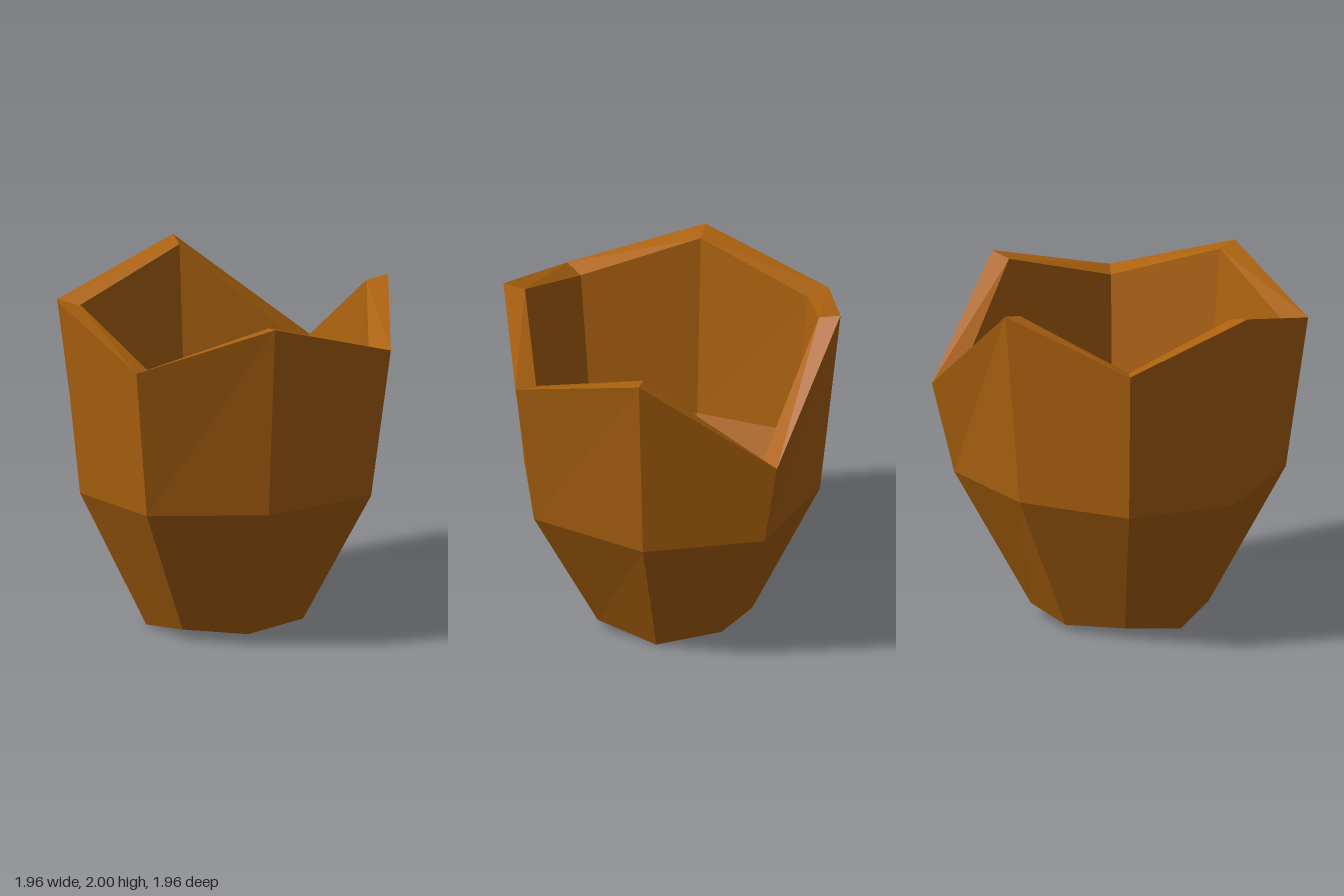
import * as THREE from 'three';

// Eight-point ring: points on the x axis, the z axis and the diagonals.
// dip is the height of the chipped corner at +x, -z.
function ring([rx, yx], [rz, yz], [rc, yc], dip = yc) {
  return Array.from({ length: 8 }, (_, i) => {
    const a = (i * Math.PI) / 4;
    const sx = Math.round(Math.cos(a)), sz = Math.round(Math.sin(a));
    if (sz === 0) return [sx * rx, yx, 0];
    if (sx === 0) return [0, yz, sz * rz];
    return [sx * rc, i === 7 ? dip : yc, sz * rc];
  });
}

const centre = (y) => ring([0, y], [0, y], [0, y]);

// Faceted band of quads joining consecutive rings; point rings close the ends.
function band(name, rings, material) {
  const pos = [];
  for (let r = 0; r < rings.length - 1; r++) {
    const a = rings[r], b = rings[r + 1];
    const fromPoint = a[0][0] === 0, toPoint = b[0][0] === 0;
    for (let i = 0; i < 8; i++) {
      const j = (i + 1) % 8;
      // split each quad from its diagonal corner, mirrored from side to side
      if (fromPoint) pos.push(...a[i], ...b[i], ...b[j]);
      else if (toPoint) pos.push(...a[i], ...b[i], ...a[j]);
      else if (i % 2) pos.push(...a[i], ...b[i], ...b[j], ...a[i], ...b[j], ...a[j]);
      else pos.push(...a[i], ...b[i], ...a[j], ...b[i], ...b[j], ...a[j]);
    }
  }
  const geometry = new THREE.BufferGeometry();
  geometry.setAttribute('position', new THREE.Float32BufferAttribute(pos, 3));
  geometry.computeVertexNormals();
  const mesh = new THREE.Mesh(geometry, material);
  mesh.name = name;
  return mesh;
}

export function createModel() {
  const clay = new THREE.MeshStandardMaterial({ color: 0xac620f });
  clay.name = 'brown clay';

  // rings from the foot, up the outside and down the inside
  const foot = ring([0.465, 0.0], [0.465, 0.035], [0.36, 0.065]);
  const belly = ring([0.86, 0.82], [0.86, 0.86], [0.67, 0.86]);
  const lip = ring([0.98, 1.96], [0.98, 2.0], [0.76, 1.745], 1.39);
  const innerLip = ring([0.85, 1.935], [0.855, 1.975], [0.66, 1.725], 1.38);
  const innerBelly = ring([0.745, 0.85], [0.745, 0.88], [0.59, 0.88]);
  const floor = ring([0.405, 0.11], [0.405, 0.27], [0.315, 0.27]);

  const group = new THREE.Group();
  group.name = 'pot';
  group.add(
    band('base', [centre(0.005), foot], clay),
    band('outerWall', [foot, belly, lip], clay),
    band('rim', [lip, innerLip], clay),
    band('innerWall', [innerLip, innerBelly, floor], clay),
    band('innerFloor', [floor, centre(0.08)], clay),
  );
  return group;
}
